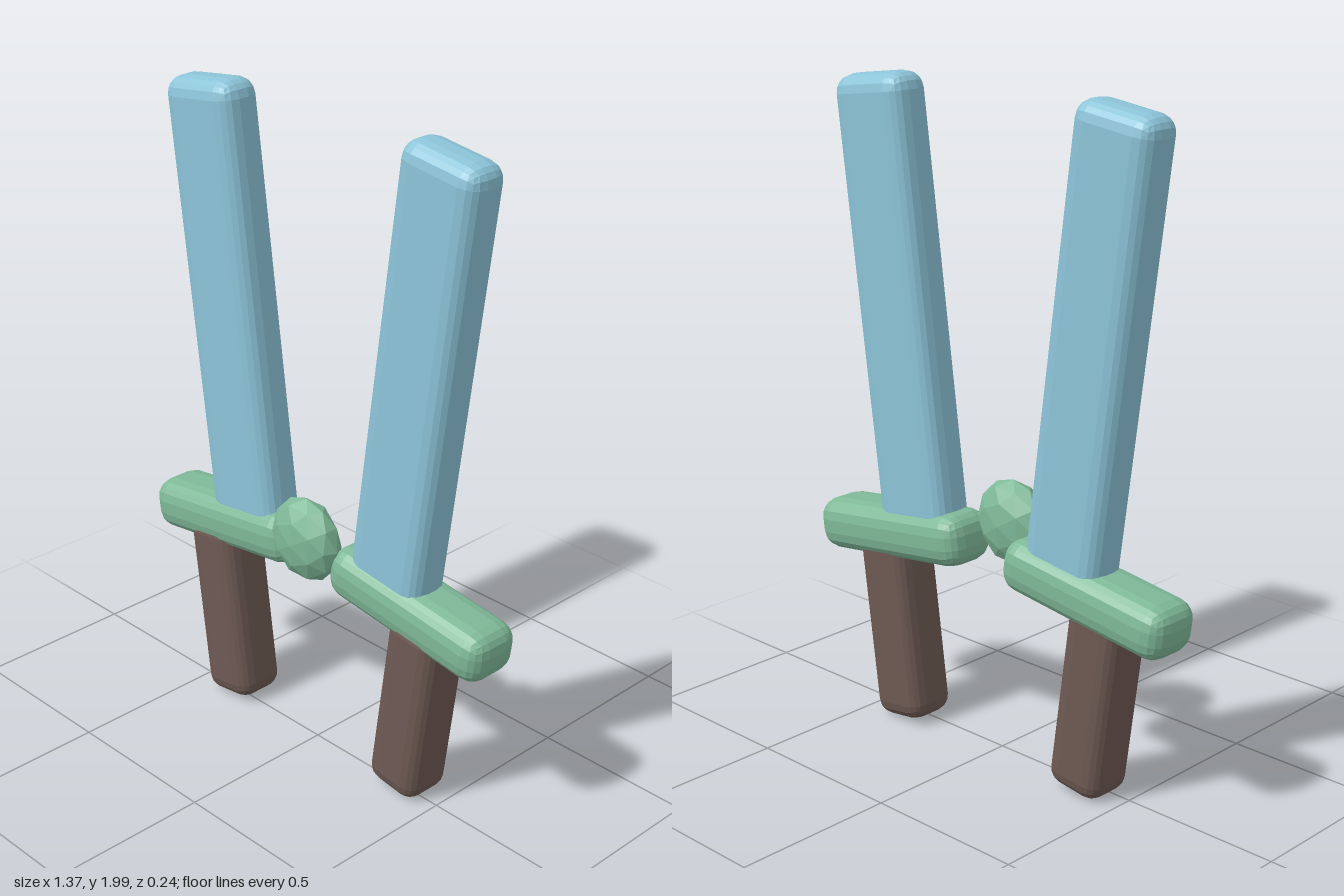
import * as THREE from 'three';
import { RoundedBoxGeometry } from 'three/addons/geometries/RoundedBoxGeometry.js';

const TILT = 0.132; // outward lean of each sword

const paint = (color) => new THREE.MeshStandardMaterial({ color, flatShading: true });

export function createModel() {
  const model = new THREE.Group();
  model.name = 'twinSwords';

  const blue = paint(0x8cc4d8);
  const green = paint(0x7fb998);
  const brown = paint(0x6e5a53);

  // Each part: name, size, bevel radius, centre on the +x side, material
  const parts = [
    ['blade', [0.28, 1.37, 0.145], 0.055, [0.378, 1.306, -0.027], blue],
    ['guard', [0.6, 0.16, 0.19], 0.06, [0.387, 0.615, -0.028], green],
    ['handle', [0.19, 0.6, 0.17], 0.05, [0.395, 0.309, -0.021], brown],
  ];

  // Two swords, mirrored across x
  for (const side of [1, -1]) {
    const sword = new THREE.Group();
    sword.name = side > 0 ? 'leftSword' : 'rightSword';
    for (const [name, size, radius, [x, y, z], material] of parts) {
      const mesh = new THREE.Mesh(new RoundedBoxGeometry(...size, 2, radius), material);
      mesh.name = name;
      mesh.position.set(side * x, y, z);
      mesh.rotation.z = -side * TILT;
      sword.add(mesh);
    }
    model.add(sword);
  }

  // Flattened faceted gem between the guards
  const gem = new THREE.Mesh(new THREE.IcosahedronGeometry(0.131, 1), green);
  gem.name = 'gem';
  gem.scale.set(0.97, 1, 0.54);
  gem.position.set(0, 0.713, 0.045);
  model.add(gem);

  return model;
}
